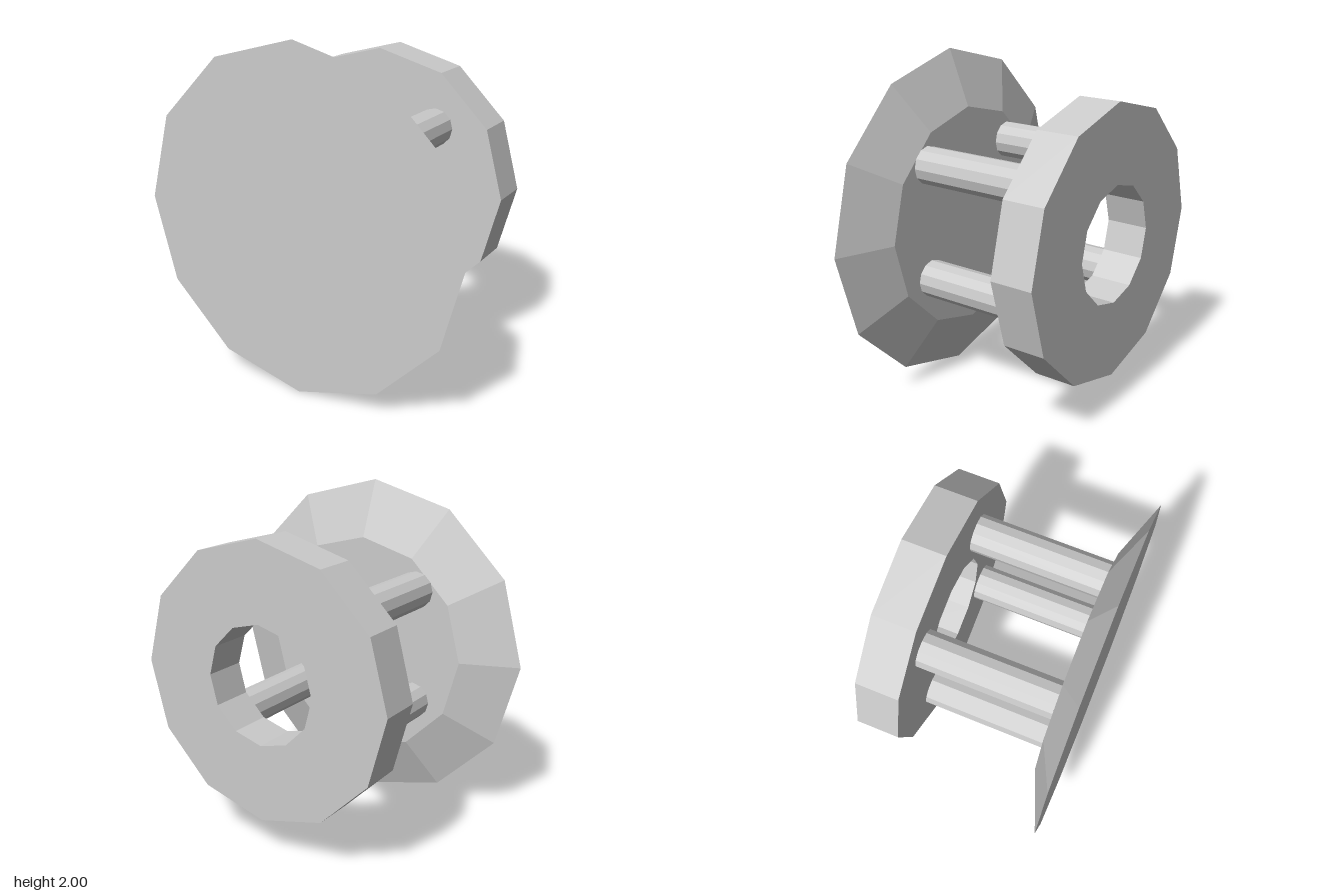
import * as THREE from 'three';

const SIDES = 12;
const material = new THREE.MeshStandardMaterial({ color: 0xcccccc, flatShading: true });

// Twelve-sided cylinder lying along z, from z0 to z1
function cylinderZ(name, rBack, rFront, z0, z1, x, y) {
  const geometry = new THREE.CylinderGeometry(rFront, rBack, z1 - z0, SIDES);
  geometry.rotateX(Math.PI / 2);
  const mesh = new THREE.Mesh(geometry, material);
  mesh.name = name;
  mesh.position.set(x, y, (z0 + z1) / 2);
  return mesh;
}

// Corners of a regular polygon
function polygon(radius) {
  return Array.from({ length: SIDES }, (_, i) => {
    const a = (i / SIDES) * Math.PI * 2;
    return new THREE.Vector2(Math.cos(a) * radius, Math.sin(a) * radius);
  });
}

export function createModel() {
  const group = new THREE.Group();
  group.name = 'knob';

  // Wide front plate, tapering towards the back
  group.add(cylinderZ('frontPlate', 0.67, 1, 0.447, 0.575, 0, 1));

  // Thick back ring with a round hole
  const shape = new THREE.Shape(polygon(0.8));
  shape.holes.push(new THREE.Path(polygon(0.345).reverse()));
  const ring = new THREE.Mesh(
    new THREE.ExtrudeGeometry(shape, { depth: 0.25, bevelEnabled: false }), material);
  ring.name = 'backRing';
  ring.position.set(0, 1.025, -0.575);
  group.add(ring);

  // Four rods joining plate and ring
  for (const x of [-0.37, 0.37]) {
    for (const y of [0.71, 1.4]) {
      group.add(cylinderZ('rod', 0.11, 0.11, -0.325, 0.447, x, y));
    }
  }
  return group;
}
